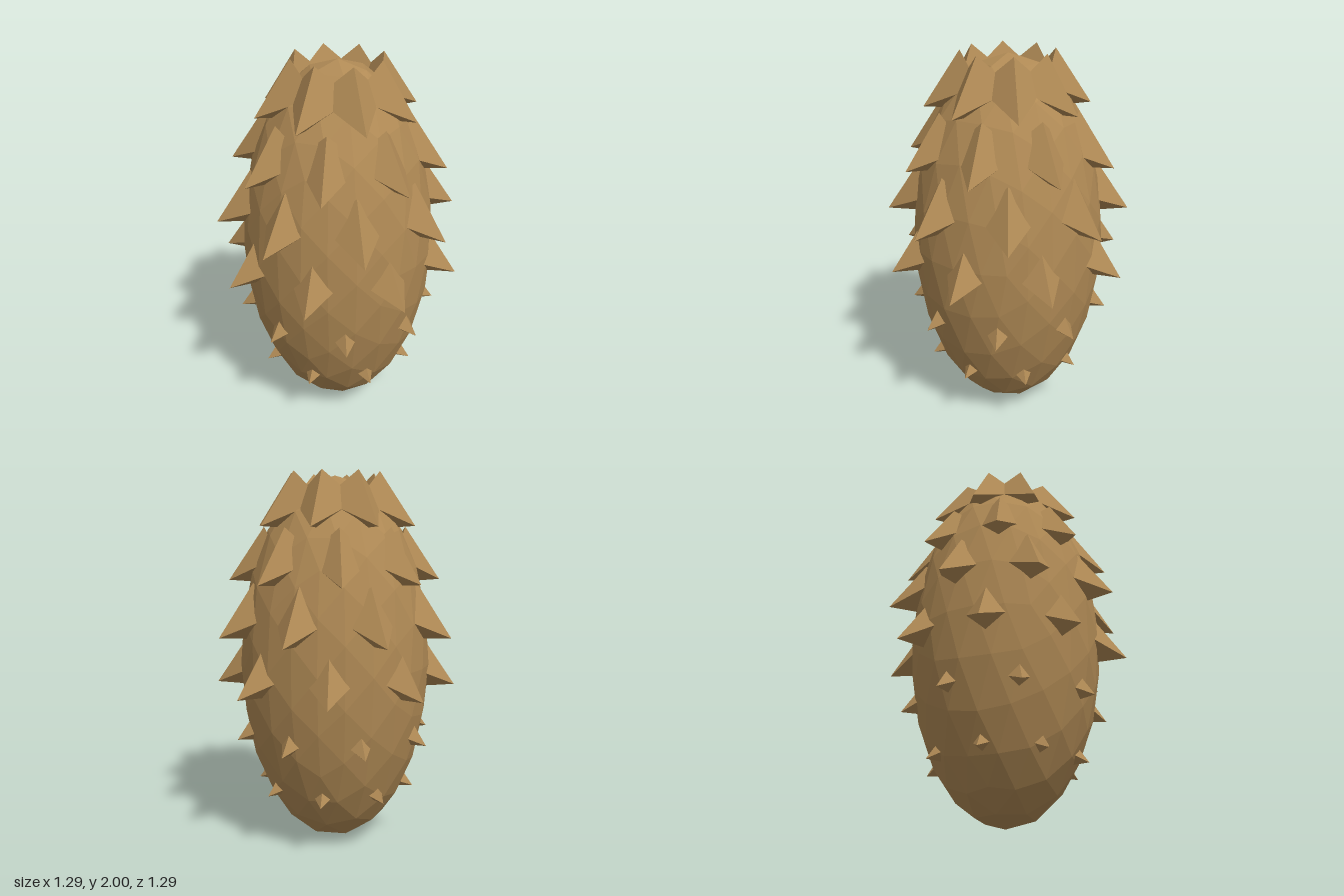
import * as THREE from 'three';

export function createModel() {
  const model = new THREE.Group();
  model.name = 'spikyFruit';
  const skin = new THREE.MeshStandardMaterial({ color: 0xb08a55, flatShading: true });

  // Faceted egg-shaped body
  const body = new THREE.Mesh(new THREE.IcosahedronGeometry(1, 3), skin);
  body.name = 'body';
  body.scale.set(0.51, 0.99, 0.51);
  body.position.y = 0.99;
  model.add(body);

  // One four-sided thorn: points along +x, tilted downwards, tip at the origin
  const tilt = THREE.MathUtils.degToRad(26);
  const thorn = new THREE.ConeGeometry(0.168, 0.292, 4);
  thorn.translate(0, -0.146, 0);
  thorn.rotateZ(-Math.PI / 2 - tilt);

  // Rings of eight thorns, each ring twisted against the one below
  const tipRadii = [0.435, 0.545, 0.65, 0.645, 0.565, 0.43];
  tipRadii.forEach((radius, row) => {
    const ring = new THREE.Group();
    ring.name = `thornRing${row + 1}`;
    for (let i = 0; i < 8; i++) {
      const angle = THREE.MathUtils.degToRad(row * 19.2 + i * 45);
      const spike = new THREE.Mesh(thorn, skin);
      spike.name = 'thorn';
      spike.position.set(radius * Math.cos(angle), 0.302 + row * 0.2836, radius * Math.sin(angle));
      spike.rotation.y = -angle;
      ring.add(spike);
    }
    model.add(ring);
  });

  return model;
}
